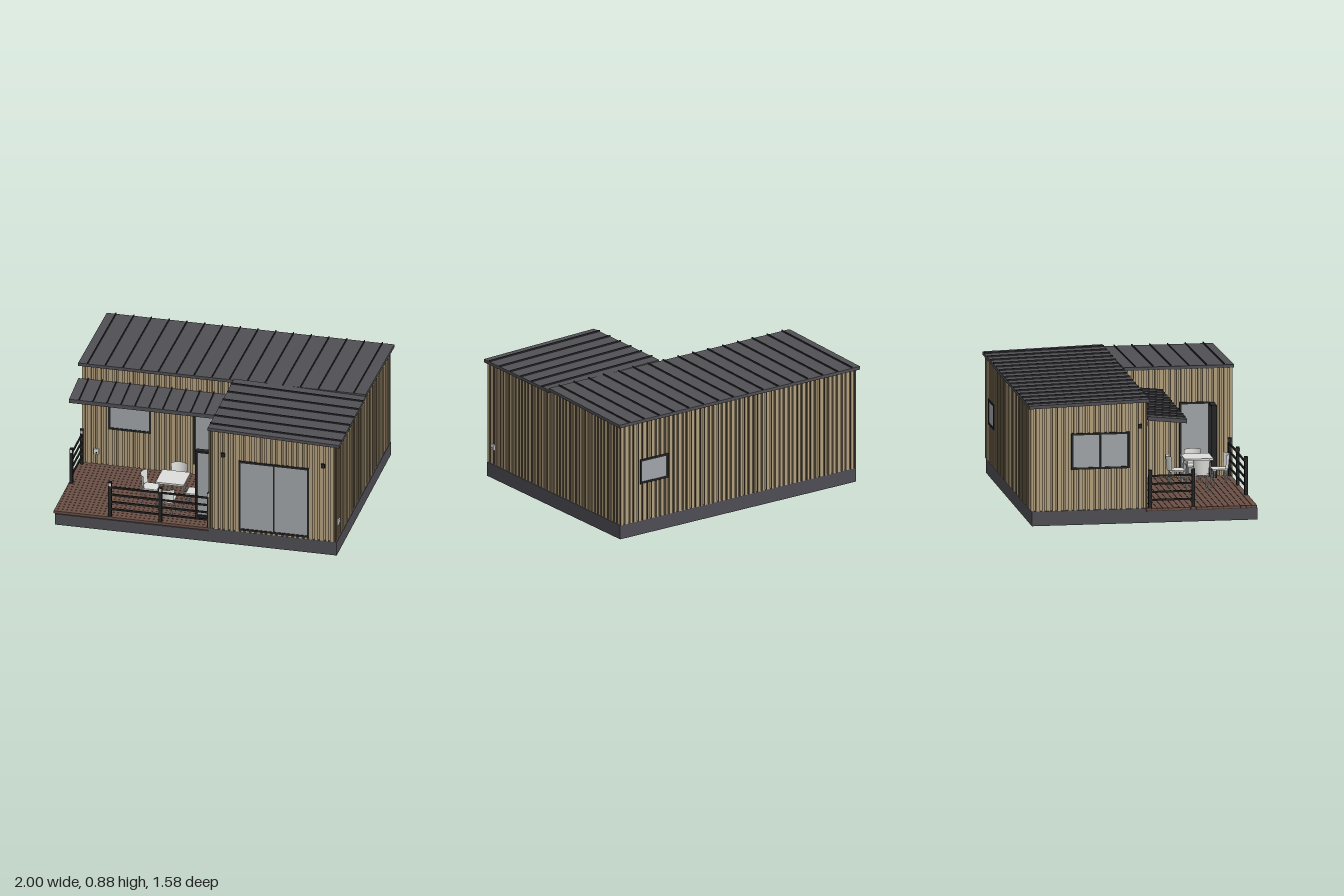
import * as THREE from 'three';
import { mergeGeometries } from 'three/addons/utils/BufferGeometryUtils.js';

const mat = (name, color, side = THREE.FrontSide) => {
  const m = new THREE.MeshStandardMaterial({ color, side });
  m.name = name;
  return m;
};

export function createModel() {
  const model = new THREE.Group();
  model.name = 'cabin';
  const M = {
    timber: mat('timber', 0xb3a07e), groove: mat('timberGroove', 0x5a4d3a),
    roof: mat('roofMetal', 0x505055), base: mat('foundation', 0x4e4d53),
    seam: mat('darkSeam', 0x2c2c2f), deck: mat('deckWood', 0x6a4f45),
    deckGap: mat('deckGap', 0x432f29), frame: mat('blackFrame', 0x242424),
    glass: mat('glass', 0xa0a5a9), white: mat('whitePlastic', 0xdededb, THREE.DoubleSide),
  };
  const add = (parent, name, geo, material) => {
    const mesh = new THREE.Mesh(geo, material);
    mesh.name = name;
    parent.add(mesh);
    return mesh;
  };
  const group = (name, parent = model) => {
    const g = new THREE.Group();
    g.name = name;
    parent.add(g);
    return g;
  };
  // box given by its limits
  const boxGeo = (x0, x1, y0, y1, z0, z1) =>
    new THREE.BoxGeometry(x1 - x0, y1 - y0, z1 - z0).translate((x0 + x1) / 2, (y0 + y1) / 2, (z0 + z1) / 2);
  const box = (parent, name, lim, material) => add(parent, name, boxGeo(...lim), material);
  // prisms: (x, y) profile along z, and (z, y) profile along x
  const prismZ = (pts, z0, z1) => new THREE.ExtrudeGeometry(
    new THREE.Shape(pts.map(p => new THREE.Vector2(...p))), { depth: z1 - z0, bevelEnabled: false }).translate(0, 0, z0);
  const prismX = (pts, x0, x1) => prismZ(pts, 0, x1 - x0).rotateY(-Math.PI / 2).translate(x1, 0, 0);
  // sloping slab profile between two points, from offset lo to offset hi
  const slab = (a, b, lo, hi) => [[a[0], a[1] + lo], [b[0], b[1] + lo], [b[0], b[1] + hi], [a[0], a[1] + hi]];

  // roof planes (top surfaces)
  const mainTop = z => 0.83 + (z + 0.79) * 0.03;
  const wingTop = x => 0.865 - (x - 0.085) * 0.027;
  const T = 0.022;

  // foundation and deck
  box(model, 'foundation', [-0.98, 0.98, 0, 0.08, -0.77, 0.775], M.base);
  box(model, 'houseFoundation', [-0.98, 0.98, 0.08, 0.1, -0.77, 0.01], M.base);
  box(model, 'wingFoundation', [0.09, 0.98, 0.08, 0.1, 0.01, 0.775], M.base);
  box(model, 'deckFrame', [-0.985, 0.088, 0.08, 0.096, 0.012, 0.768], M.deckGap);
  const boards = [];
  for (let i = 0; i < 20; i++) {
    const z = 0.012 + i * 0.038;
    boards.push(boxGeo(-0.99, 0.089, 0.085, 0.1, z, z + 0.0355));
  }
  add(model, 'deckBoards', mergeGeometries(boards), M.deck);

  // wall cores
  add(model, 'mainWalls', prismX([[-0.763, 0.1], [0.008, 0.1], [0.008, mainTop(0.008) - T], [-0.763, mainTop(-0.763) - T]],
    -0.963, 0.963), M.timber);
  add(model, 'wingWalls', prismZ([[0.102, 0.1], [0.963, 0.1], [0.963, wingTop(0.963) - T], [0.102, wingTop(0.102) - T]],
    0, 0.763), M.timber);

  // one cladded wall: local x runs along it, local z points outwards, d = outer plane
  const wall = (name, rot, d, x0, x1, top) => {
    const g = group(name);
    g.rotation.y = rot;
    const slats = [], edges = [], widths = [0.02, 0.027, 0.016, 0.024];
    for (let x = x0, i = 0; x < x1 - 0.008; i++) {
      const e = Math.min(x + widths[i % 4], x1), h = top((x + e) / 2);
      slats.push(boxGeo(x, e, 0.1, h, d - 0.014, d));
      edges.push(boxGeo(x - 0.001, e + 0.001, 0.1, h, d - 0.014, d - 0.0015));
      x = e + 0.015;
    }
    add(g, 'slats', mergeGeometries(slats), M.timber);
    add(g, 'slatEdges', mergeGeometries(edges), M.groove);
    return g;
  };
  const frameGeo = (x0, x1, y0, y1, z0, z1, t, panes) => {
    const parts = [boxGeo(x0, x1, y0, y0 + t, z0, z1), boxGeo(x0, x1, y1 - t, y1, z0, z1)];
    for (let i = 0; i <= panes; i++) {
      const w = i % panes ? t * 0.8 : t, x = x0 + t / 2 + (x1 - x0 - t) * i / panes;
      parts.push(boxGeo(x - w / 2, x + w / 2, y0, y1, z0, z1));
    }
    return mergeGeometries(parts);
  };
  const windowAt = (g, name, d, x0, x1, y0, y1, panes = 1) => {
    const w = group(name, g);
    box(w, 'pane', [x0 + 0.005, x1 - 0.005, y0 + 0.005, y1 - 0.005, d - 0.004, d + 0.002], M.glass);
    add(w, 'frame', frameGeo(x0, x1, y0, y1, d - 0.005, d + 0.007, 0.014, panes), M.frame);
  };
  const lamp = (g, d, x, y) => box(g, 'wallLamp', [x - 0.012, x + 0.012, y - 0.015, y + 0.015, d, d + 0.012], M.frame);
  const socket = (g, d, x, y) => {
    box(g, 'socket', [x - 0.017, x + 0.017, y - 0.02, y + 0.02, d, d + 0.01], M.white);
    box(g, 'socketHole', [x - 0.005, x + 0.005, y - 0.012, y - 0.002, d + 0.008, d + 0.011], M.frame);
  };

  const P = Math.PI;
  const porch = wall('porchWall', 0, 0.02, -0.975, 0.09, () => mainTop(0) - T);
  windowAt(porch, 'porchWindow', 0.02, -0.79, -0.495, 0.375, 0.6);
  windowAt(porch, 'porchTallWindow', 0.02, -0.2, -0.02, 0.18, 0.625);
  lamp(porch, 0.02, -0.9, 0.667);
  lamp(porch, 0.02, -0.4, 0.667);
  socket(porch, 0.02, -0.875, 0.197);

  const wingFront = wall('wingFrontWall', 0, 0.775, 0.092, 0.975, x => wingTop(x) - T);
  windowAt(wingFront, 'slidingDoor', 0.775, 0.298, 0.788, 0.113, 0.637, 2);
  lamp(wingFront, 0.775, 0.19, 0.67);
  lamp(wingFront, 0.775, 0.885, 0.67);

  const right = wall('leftSideWall', P / 2, 0.975, -0.775, 0.775,
    x => (-x > 0.03 ? wingTop(0.975) : Math.min(mainTop(-x), 0.86)) - T);
  socket(right, 0.975, -0.71, 0.226);

  const back = wall('backWall', P, 0.775, -0.975, 0.975, () => mainTop(-0.775) - T);
  windowAt(back, 'backWindow', 0.775, -0.82, -0.585, 0.365, 0.54);

  const side = wall('rightSideWall', -P / 2, 0.975, -0.775, 0.018, x => mainTop(x) - T);
  windowAt(side, 'sideWindow', 0.975, -0.5, -0.1, 0.38, 0.63, 2);
  lamp(side, 0.975, -0.03, 0.667);

  const inner = wall('wingInnerWall', -P / 2, -0.09, 0.022, 0.775, () => wingTop(0.1) - T);
  windowAt(inner, 'doorway', -0.09, 0.41, 0.62, 0.108, 0.615);

  // open door leaf
  const leaf = group('openDoor');
  add(leaf, 'doorFrame', frameGeo(-0.035, 0.088, 0.11, 0.61, 0.613, 0.65, 0.014, 1), M.frame);
  box(leaf, 'doorPane', [-0.025, 0.08, 0.12, 0.6, 0.628, 0.636], M.glass);

  // roofs with standing seams
  const mA = [-0.79, mainTop(-0.79)], mB = [0.03, mainTop(0.03)];
  const wA = [0.085, wingTop(0.085)], wB = [1, wingTop(1)];
  const aA = [0.02, 0.735], aB = [0.29, 0.708];
  add(model, 'mainRoof', prismX(slab(mA, mB, -T, 0), -1, 1), M.roof);
  add(model, 'wingRoof', prismZ(slab(wA, wB, -T, 0), 0.028, 0.785), M.roof);
  add(model, 'porchRoof', prismX(slab(aA, aB, -0.028, 0), -1, 0.089), M.roof);
  const seams = [];
  for (let x = -0.935; x < 1; x += 0.1235) seams.push(prismX(slab(mA, mB, 0, 0.01), x - 0.003, x + 0.003));
  for (let z = 0.11; z < 0.75; z += 0.122) seams.push(prismZ(slab(wA, wB, 0, 0.01), z - 0.003, z + 0.003));
  for (let x = -0.93; x < 0.08; x += 0.097) seams.push(prismX(slab(aA, aB, 0, 0.01), x - 0.003, x + 0.003));
  add(model, 'roofSeams', mergeGeometries(seams), M.seam);

  // railings
  const rails = group('railings');
  const post = (x, z) => {
    box(rails, 'railPost', [x - 0.011, x + 0.011, 0.1, 0.362, z - 0.011, z + 0.011], M.frame);
    box(rails, 'postLight', [x - 0.008, x + 0.008, 0.333, 0.355, z - 0.013, z + 0.013], M.white);
  };
  [-0.6, -0.25, 0.088].forEach(x => post(x, 0.757));
  [0.04, 0.335].forEach(z => post(-0.972, z));
  [0.155, 0.21, 0.265, 0.32].forEach(y => {
    box(rails, 'frontRail', [-0.6, 0.088, y - 0.006, y + 0.006, 0.752, 0.762], M.frame);
    box(rails, 'sideRail', [-0.977, -0.967, y - 0.006, y + 0.006, 0.04, 0.335], M.frame);
  });

  // table and four chairs
  const legs = (g, r, h, a) => {
    for (const sx of [-1, 1]) for (const sz of [-1, 1]) {
      const leg = add(g, 'leg', new THREE.CylinderGeometry(0.005, 0.004, h, 8), M.white);
      leg.position.set(sx * r, h / 2, sz * r);
      leg.rotation.set(-sz * a, 0, sx * a);
    }
  };
  const table = group('table');
  table.position.set(-0.23, 0.1, 0.48);
  box(table, 'tableTop', [-0.098, 0.098, 0.19, 0.203, -0.098, 0.098], M.white);
  legs(table, 0.082, 0.192, 0.06);
  const chair = (x, z, rot) => {
    const c = group('chair');
    c.position.set(x, 0.1, z);
    c.rotation.y = rot;
    box(c, 'seat', [-0.05, 0.05, 0.108, 0.118, -0.055, 0.05], M.white);
    add(c, 'backrest', new THREE.CylinderGeometry(0.07, 0.06, 0.1, 16, 1, true, -1, 2).translate(0, 0.165, 0), M.white);
    legs(c, 0.043, 0.112, 0.1);
  };
  chair(-0.23, 0.635, 0);
  chair(-0.075, 0.48, P / 2);
  chair(-0.23, 0.335, P);
  chair(-0.385, 0.48, -P / 2);

  return model;
}
